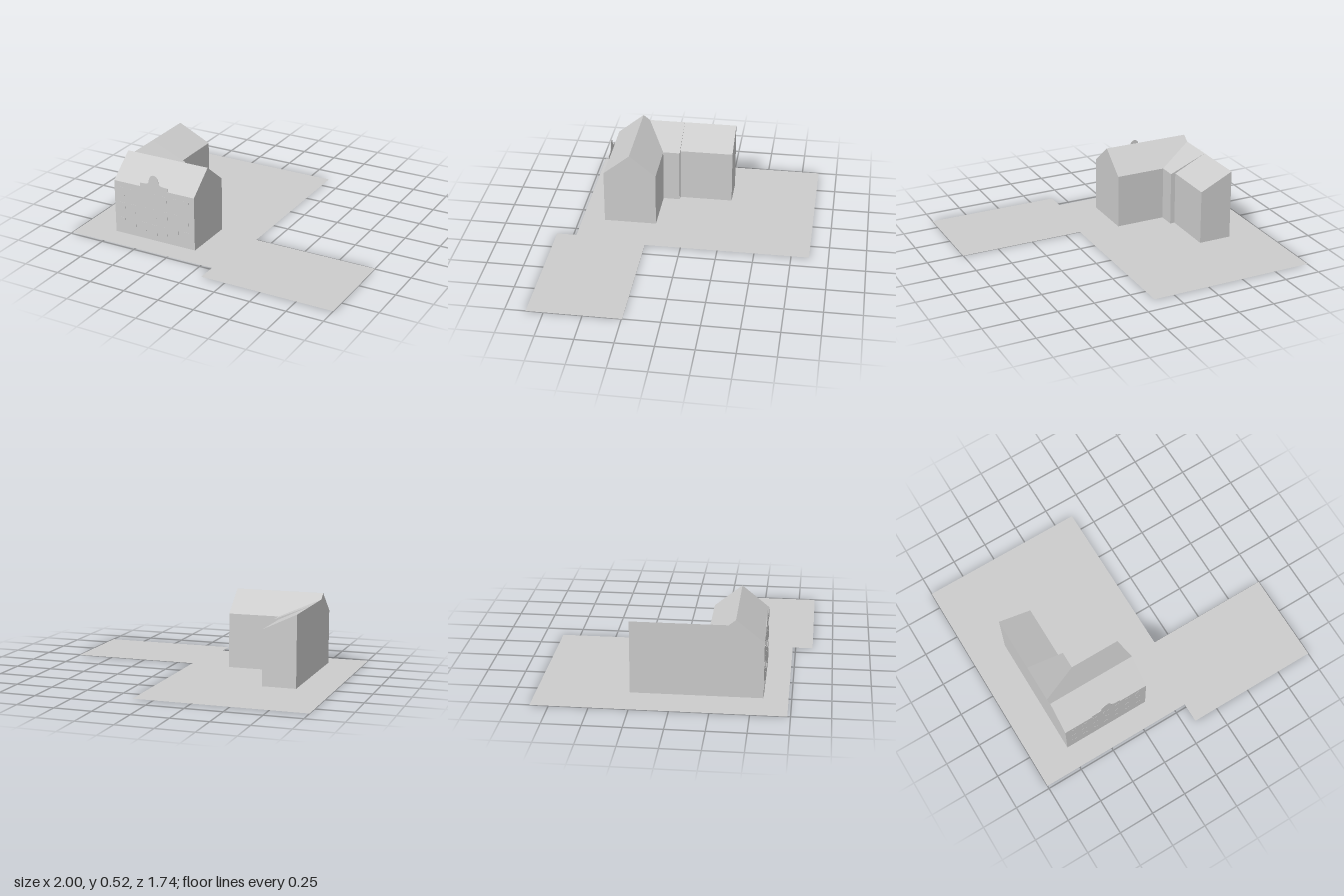
import * as THREE from 'three';

export function createModel() {
  const model = new THREE.Group();
  const stone = new THREE.MeshStandardMaterial({ color: 0xcccccc, side: THREE.DoubleSide });
  stone.name = 'pale grey';

  const add = (name, geometry) => {
    const mesh = new THREE.Mesh(geometry, stone);
    mesh.name = name;
    model.add(mesh);
    return mesh;
  };
  const outline = (points) => new THREE.Shape(points.map(([x, y]) => new THREE.Vector2(x, y)));
  const extrude = (shape, depth) =>
    new THREE.ExtrudeGeometry(shape, { depth, bevelEnabled: false, curveSegments: 10 });

  // Flat plot of land, drawn as (x, -z) and laid down
  const plot = outline([
    [-1, -0.73], [0.08, -0.73], [0.08, -0.865], [1, -0.865],
    [1, -0.245], [0.14, -0.245], [0.14, 0.87], [-1, 0.87],
  ]);
  add('ground', new THREE.ShapeGeometry(plot).rotateX(-Math.PI / 2));

  // Front house: gable section in (-z, y), extruded along x
  const left = -0.753, right = -0.14, front = 0.573;
  const gable = outline([[-front, 0], [-0.212, 0], [-0.212, 0.375], [-0.393, 0.522], [-front, 0.375]]);
  add('frontHouse', extrude(gable, right - left).rotateY(Math.PI / 2).translate(left, 0, 0));

  // Rear wing: two lean-to sections running into the back roof
  const leanTo = (name, sideX, z0, z1) => {
    const section = outline([[left, 0], [sideX, 0], [sideX, 0.375], [left, 0.485]]);
    add(name, extrude(section, z1 - z0).translate(0, 0, z0));
  };
  leanTo('rearWing', -0.523, -0.275, 0.095);
  leanTo('wingLink', -0.49, 0.095, 0.347);

  // Bell-shaped ornamental gable above the eaves
  const crest = new THREE.Shape();
  crest.moveTo(-0.105, 0.37);
  crest.lineTo(0.105, 0.37);
  crest.lineTo(0.105, 0.4);
  crest.lineTo(0.065, 0.402);
  crest.bezierCurveTo(0.03, 0.405, 0.04, 0.425, 0.033, 0.44);
  crest.bezierCurveTo(0.022, 0.481, -0.022, 0.481, -0.033, 0.44);
  crest.bezierCurveTo(-0.04, 0.425, -0.03, 0.405, -0.065, 0.402);
  crest.lineTo(-0.105, 0.4);
  crest.closePath();
  add('ornamentalGable', extrude(crest, 0.004).translate(-0.445, 0, front - 0.003));

  // Three storeys of barely raised windows, with a door in the middle
  const middle = (left + right) / 2;
  [0.085, 0.195, 0.305].forEach((y, floor) => {
    for (let column = -3; column <= 3; column++) {
      const isDoor = floor === 0 && column === 0;
      const height = isDoor ? 0.11 : 0.062;
      const pane = add(isDoor ? 'door' : 'window', new THREE.BoxGeometry(0.036, height, 0.002));
      pane.position.set(middle + column * 0.082, isDoor ? height / 2 + 0.003 : y, front);
    }
  });

  return model;
}
